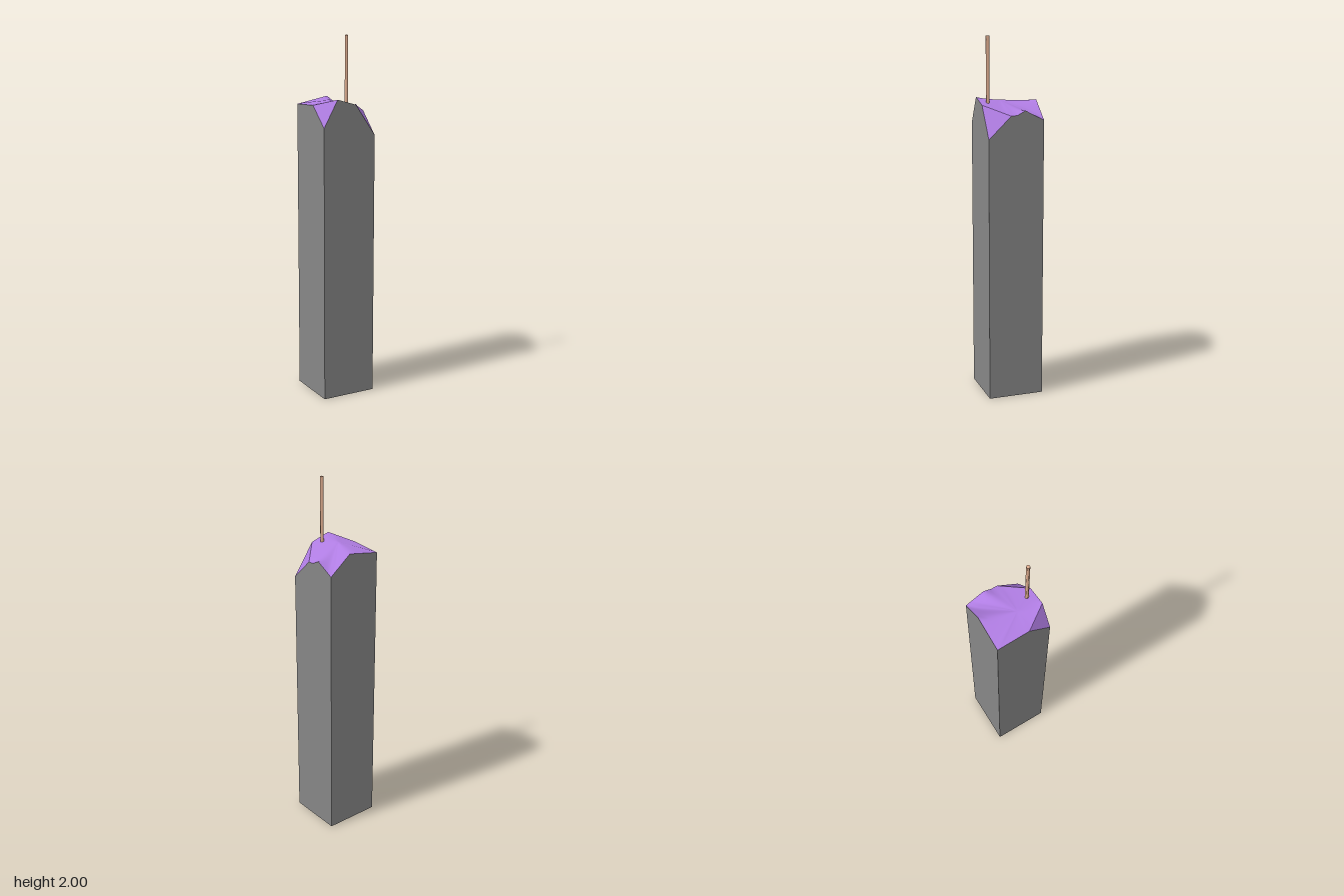
import * as THREE from 'three';

const W = 0.155; // half width of the square column
const mat = (color) => new THREE.MeshStandardMaterial({ color });

// Broken top rim, anticlockwise seen from above: [x, y, z]
const rim = [
  [-W, 1.52, W], // chipped front right corner
  [-0.073, 1.667, W],
  [0.037, 1.635, W],
  [W, 1.465, W], // chipped front left corner
  [W, 1.586, 0.03],
  [W, 1.588, -0.005],
  [W, 1.612, -0.05],
  [W, 1.557, -W],
  [0.03, 1.655, -W],
  [-W, 1.62, -W],
  [-W, 1.63, 0.03],
];
const chips = [0, 3]; // rim indices of the chipped corners
const at = (i) => rim[(i + rim.length) % rim.length];

function mesh(name, positions, material, index = null) {
  const geometry = new THREE.BufferGeometry();
  geometry.setAttribute('position', new THREE.Float32BufferAttribute(positions.flat(), 3));
  geometry.setIndex(index);
  geometry.computeVertexNormals();
  const m = new THREE.Mesh(geometry, material);
  m.name = name;
  return m;
}

// Uneven top: rings shrinking to an inner point, their heights smoothed step by step
function brokenTop(material) {
  const centre = [-0.04, 1.652, 0.03];
  const rings = 8;
  const outline = [];
  const corners = rim.filter((p, i) => !chips.includes(i));
  corners.forEach((a, i) => {
    const b = corners[(i + 1) % corners.length];
    const steps = Math.ceil(Math.hypot(b[0] - a[0], b[2] - a[2]) / 0.02);
    for (let s = 0; s < steps; s++) {
      outline.push(a.map((v, k) => v + ((b[k] - v) * s) / steps));
    }
  });
  const n = outline.length;
  const points = [];
  const index = [];
  let heights = outline.map((p) => p[1]);
  for (let r = 0; r < rings; r++) {
    const t = 1 - r / rings;
    outline.forEach((p, i) => {
      const edge = [p[0], heights[i], p[2]];
      points.push(edge.map((v, k) => centre[k] + (v - centre[k]) * t));
      const a = r * n + i;
      const b = r * n + ((i + 1) % n);
      if (r < rings - 1) index.push(a, b, b + n, a, b + n, a + n);
      else index.push(a, b, rings * n);
    });
    for (let pass = 0; pass < 3; pass++) {
      heights = heights.map((h, i) => (heights[(i + n - 1) % n] + 2 * h + heights[(i + 1) % n]) / 4);
    }
  }
  points.push(centre);
  return mesh('brokenTop', points, material, index);
}

export function createModel() {
  const group = new THREE.Group();
  group.name = 'brokenColumn';
  const purple = mat(0xb07de3);

  // Column walls: each rim segment drops straight to the ground
  const walls = [];
  rim.forEach((a, i) => {
    const b = at(i + 1);
    const a0 = [a[0], 0, a[2]];
    const b0 = [b[0], 0, b[2]];
    walls.push(a0, b0, b, a0, b, a);
  });
  group.add(mesh('columnWalls', walls, mat(0x868686)));

  group.add(brokenTop(purple));

  // Steep chips at the two front corners
  chips.forEach((i) => {
    group.add(mesh('cornerChip', [at(i - 1), at(i), at(i + 1)], purple));
  });

  // Underside
  const base = new THREE.Mesh(new THREE.PlaneGeometry(2 * W, 2 * W).rotateX(Math.PI / 2), purple);
  base.name = 'underside';
  group.add(base);

  // Thin six-sided rod standing on the top
  const rod = new THREE.Mesh(new THREE.CylinderGeometry(0.01, 0.01, 0.364, 6), mat(0xe0ae90));
  rod.name = 'rod';
  rod.position.set(0.003, 1.818, 0.112);
  rod.rotation.y = Math.PI / 2;
  group.add(rod);

  return group;
}
